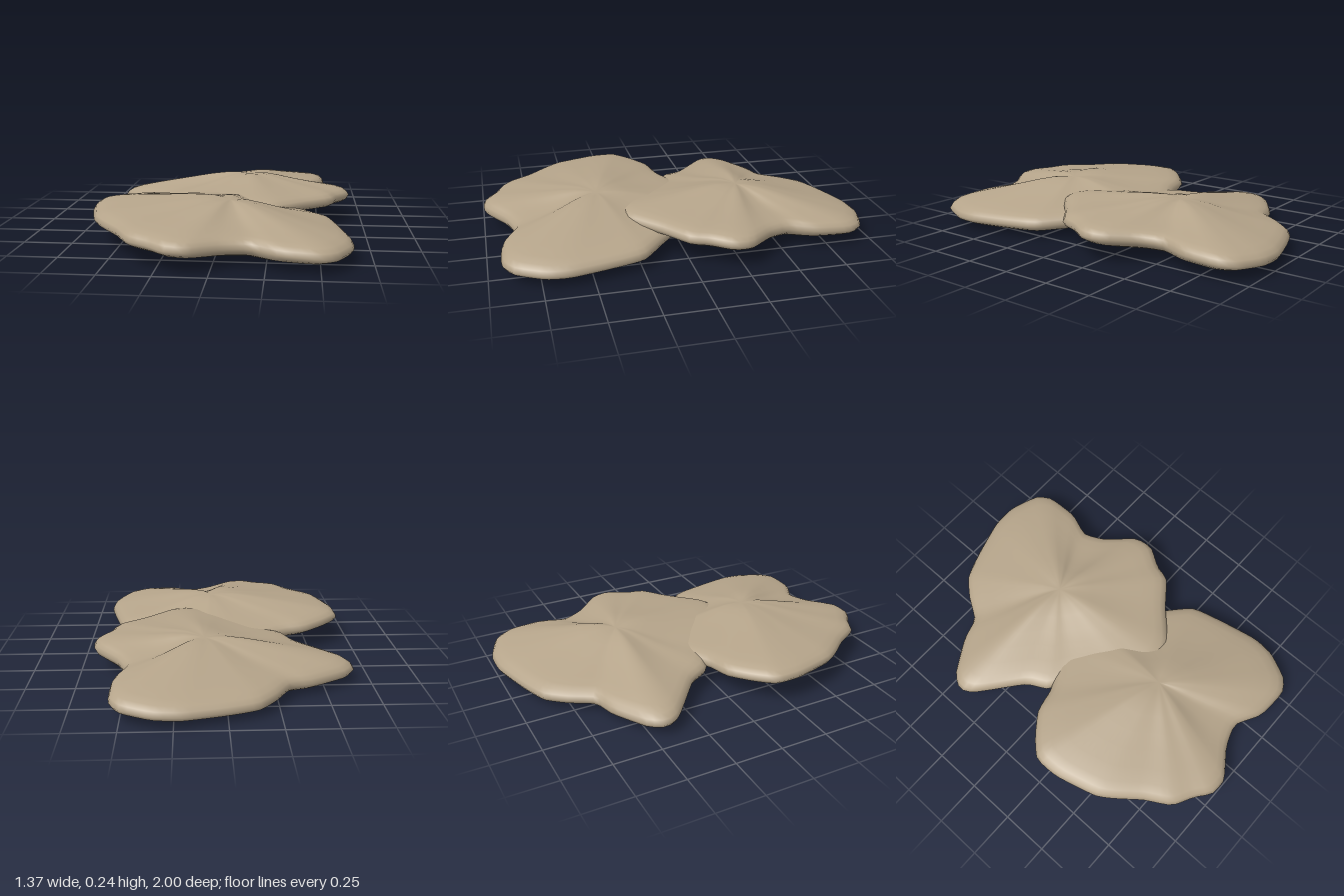
import * as THREE from 'three';
import { mergeVertices } from 'three/addons/utils/BufferGeometryUtils.js';

// Radial profile from top centre over the rim to bottom centre: [fraction of radius, height]
const PROFILE = [
  [0, 0.122], [0.08, 0.126], [0.18, 0.124], [0.3, 0.112], [0.45, 0.093], [0.6, 0.077], [0.75, 0.063],
  [0.87, 0.051], [0.94, 0.039], [0.98, 0.022], [1, 0], [0.98, -0.02], [0.94, -0.033], [0.87, -0.043],
  [0.72, -0.055], [0.55, -0.067], [0.3, -0.08], [0, -0.085],
];
const SEGMENTS = 96;

// A flat stone: the profile swept around a star-shaped outline, on a tilted middle plane
function slab(name, outline, [cx, cz], midHeight, material) {
  const curve = new THREE.CatmullRomCurve3(
    outline.map(([x, z]) => new THREE.Vector3(x, 0, z)), true, 'catmullrom', 0.25);
  const rim = curve.getSpacedPoints(SEGMENTS).slice(0, SEGMENTS);
  const positions = [], index = [];
  PROFILE.forEach(([s, h], k) => {
    rim.forEach((p, i) => {
      const x = cx + (p.x - cx) * s, z = cz + (p.z - cz) * s;
      // Ridges run out to the long lobes, gullies to the notches
      const reach = Math.hypot(p.x - cx, p.z - cz);
      const ridge = 0.08 * (reach - 0.6) * Math.sin(Math.PI * s);
      positions.push(x, midHeight(x, z) + h + ridge, z);
      if (k === PROFILE.length - 1) return;
      const j = (i + 1) % SEGMENTS;
      const a = k * SEGMENTS + i, b = k * SEGMENTS + j;
      const c = a + SEGMENTS, d = b + SEGMENTS;
      if (k > 0) index.push(a, b, c);
      index.push(b, d, c);
    });
  });
  let geometry = new THREE.BufferGeometry();
  geometry.setAttribute('position', new THREE.Float32BufferAttribute(positions, 3));
  geometry.setIndex(index);
  geometry = mergeVertices(geometry, 1e-5);
  geometry.computeVertexNormals();
  const mesh = new THREE.Mesh(geometry, material);
  mesh.name = name;
  return mesh;
}

const FRONT = [
  [0.44, 0.12], [0.57, 0.24], [0.62, 0.42], [0.66, 0.62], [0.65, 0.74], [0.58, 0.88], [0.5, 0.93],
  [0.32, 0.92], [0.18, 0.85], [0.05, 0.89], [-0.1, 0.99], [-0.2, 0.99], [-0.28, 0.93], [-0.39, 0.87],
  [-0.47, 0.74], [-0.56, 0.63], [-0.62, 0.54], [-0.68, 0.32], [-0.68, 0.18], [-0.6, 0.09],
  [-0.48, 0], [-0.35, -0.03], [-0.22, -0.1], [-0.08, -0.18], [0.1, -0.2], [0.28, -0.03],
];
const BACK = [
  [0.21, -1], [0.35, -1], [0.5, -0.94], [0.55, -0.86], [0.55, -0.68], [0.5, -0.54], [0.55, -0.42],
  [0.67, -0.28], [0.68, -0.18], [0.61, -0.07], [0.58, 0.02], [0.44, 0.13], [0.28, 0.28], [0.18, 0.31],
  [0.02, 0.25], [-0.14, 0.12], [-0.25, 0.01], [-0.35, -0.05], [-0.41, -0.16], [-0.55, -0.28],
  [-0.64, -0.36], [-0.67, -0.43], [-0.62, -0.51], [-0.44, -0.62], [-0.32, -0.66], [-0.24, -0.78],
  [-0.15, -0.88], [0, -0.94],
];

export function createModel() {
  const group = new THREE.Group();
  group.name = 'flatStones';
  const stone = new THREE.MeshStandardMaterial({ color: 0xb5a48a });

  // The two stones lean opposite ways and interlock in the middle
  group.add(
    slab('frontStone', FRONT, [0.05, 0.4], (x) => 0.1 - 0.055 * x, stone),
    slab('backStone', BACK, [0.1, -0.37], (x, z) => 0.09 + 0.04 * x + 0.06 * (z + 0.37), stone),
  );

  // Rest the lowest point on the ground
  const low = new THREE.Box3().setFromObject(group).min.y;
  group.children.forEach((m) => m.geometry.translate(0, -low, 0));
  return group;
}
